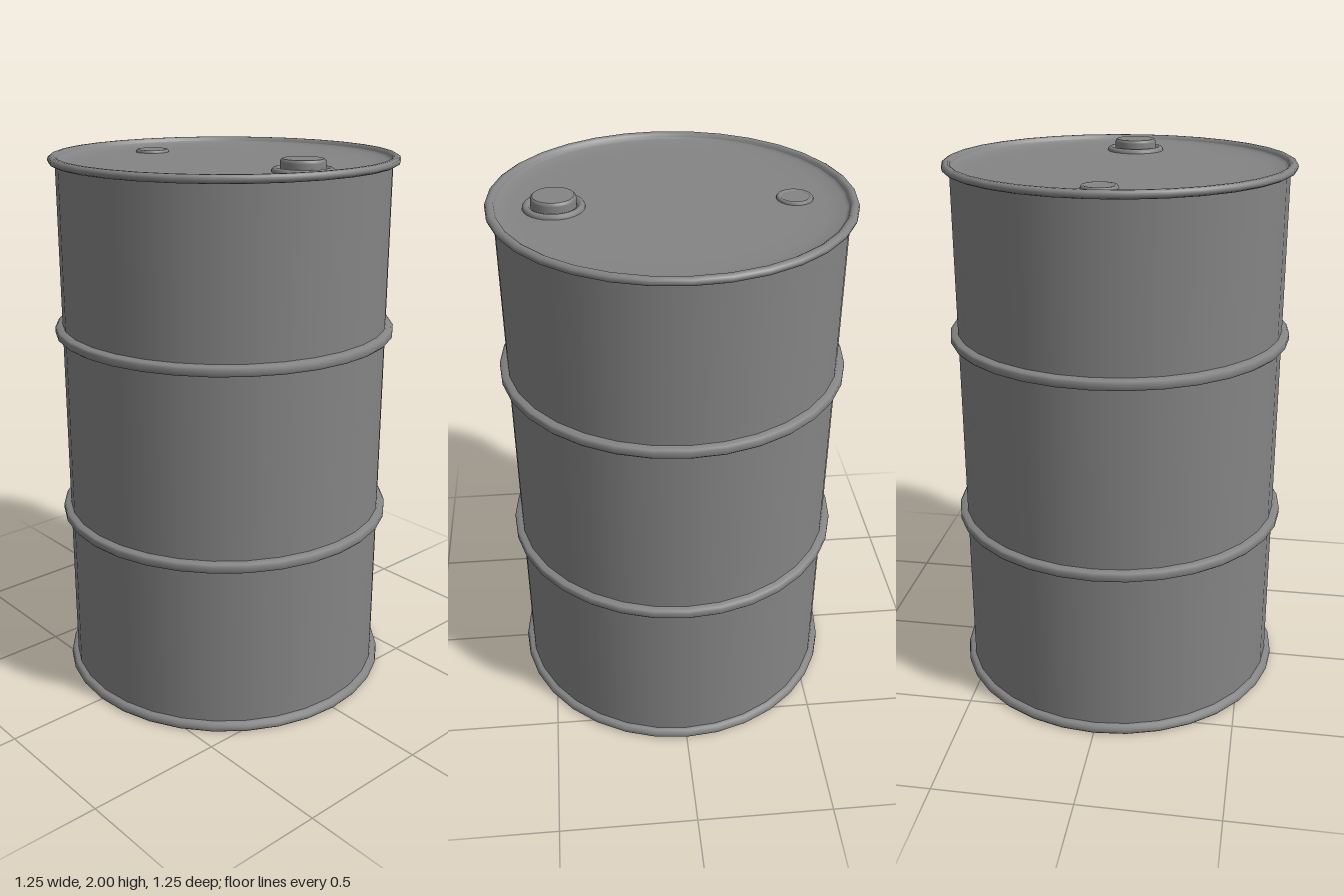
import * as THREE from 'three';

const steel = new THREE.MeshStandardMaterial({ color: 0x848484 });
const SIDES = 32;

// Turned part from [radius, height] pairs; outer surfaces run upwards
function turned(name, points) {
  const profile = points.map(([r, y]) => new THREE.Vector2(r, y));
  const mesh = new THREE.Mesh(new THREE.LatheGeometry(profile, SIDES), steel);
  mesh.name = name;
  return mesh;
}

// Rolling hoop that blends into the side wall
function hoop(name, y) {
  const half = [[0.597, 0.021], [0.606, 0.018], [0.619, 0.016], [0.625, 0.009]];
  const lower = half.map(([r, h]) => [r, y - h]);
  const upper = half.map(([r, h]) => [r, y + h]).reverse();
  return turned(name, [...lower, ...upper]);
}

export function createModel() {
  const drum = new THREE.Group();
  drum.name = 'drum';
  const lidY = 1.957;

  // Side wall with two hoops
  drum.add(turned('shell', [[0.598, 0.015], [0.598, 1.97]]));
  drum.add(hoop('lowerHoop', 0.655), hoop('upperHoop', 1.36));

  // Rolled rim at the top, flared foot rim at the bottom
  drum.add(turned('topRim', [
    [0.597, 1.957], [0.612, 1.958], [0.621, 1.963], [0.624, 1.972],
    [0.621, 1.981], [0.612, 1.986], [0.602, 1.986], [0.594, 1.981], [0.589, 1.97],
  ]));
  drum.add(turned('bottomRim', [
    [0.588, 0.012], [0.594, 0.002], [0.604, 0], [0.618, 0.001],
    [0.623, 0.008], [0.621, 0.022], [0.612, 0.03], [0.597, 0.032],
  ]));

  // Dished ends
  drum.add(turned('lid', [[0.59, 1.972], [0.58, 1.964], [0.53, lidY], [0.45, lidY], [0, lidY]]));
  drum.add(turned('base', [[0, 0.02], [0.45, 0.02], [0.53, 0.02], [0.58, 0.016], [0.59, 0.009]]));

  // Large filler bung with its flange
  const bung = new THREE.Group();
  bung.name = 'largeBung';
  bung.position.set(0, lidY, 0.395);
  bung.add(
    turned('bungFlange', [
      [0.106, -0.002], [0.105, 0.007], [0.1, 0.013], [0.092, 0.015],
      [0.085, 0.012], [0.081, 0.006], [0.075, 0.005],
    ]),
    turned('bungWall', [[0.077, 0], [0.077, 0.032], [0.075, 0.039], [0.07, 0.043]]),
    turned('bungTop', [[0.07, 0.043], [0, 0.043]]),
  );
  drum.add(bung);

  // Small vent plug, a low collar around a flat disc
  const plug = new THREE.Group();
  plug.name = 'smallPlug';
  plug.position.set(0, lidY, -0.417);
  plug.add(
    turned('plugCollar', [[0.063, -0.002], [0.062, 0.006], [0.058, 0.01], [0.052, 0.01], [0.047, 0.007]]),
    turned('plugTop', [[0.047, 0.007], [0, 0.007]]),
  );
  drum.add(plug);

  return drum;
}
